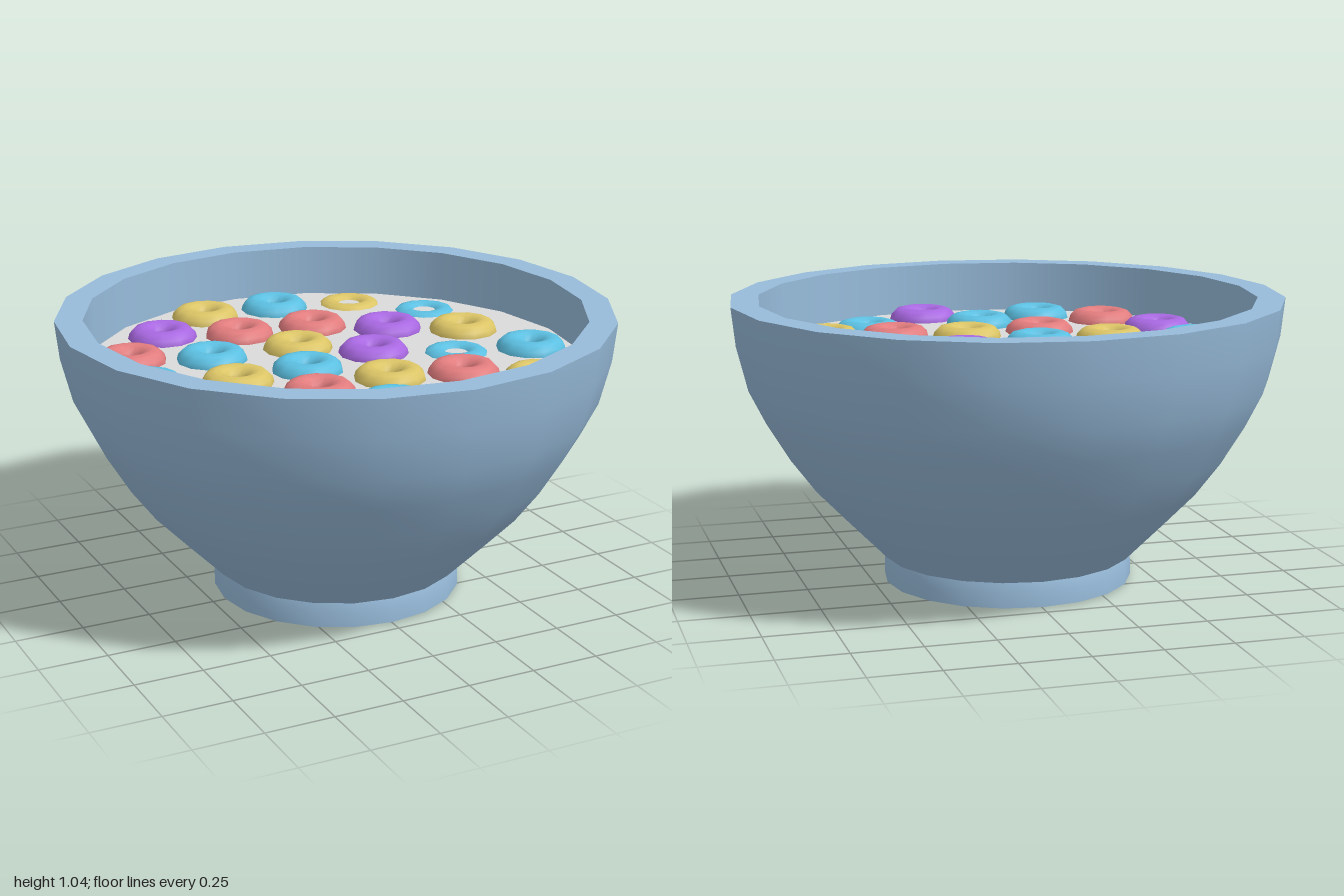
import * as THREE from 'three';

const mat = (name, color) => {
  const m = new THREE.MeshStandardMaterial({ color });
  m.name = name;
  return m;
};

export function createModel() {
  const model = new THREE.Group();
  model.name = 'cerealBowl';
  const SIDES = 20;
  const MILK_Y = 0.85;

  const ceramic = mat('blue ceramic', 0x97bbda);
  const milkWhite = mat('milk white', 0xdadada);
  const hoopColors = {
    c: mat('cyan hoop', 0x5cc0e2),
    r: mat('red hoop', 0xe27c7e),
    y: mat('yellow hoop', 0xdcc566),
    p: mat('purple hoop', 0xa968e2),
  };

  // Each profile is one smooth strip, so edges between strips stay sharp
  const strip = (name, profile, material, parent) => {
    const pts = profile.map(([r, y]) => new THREE.Vector2(r, y));
    const mesh = new THREE.Mesh(new THREE.LatheGeometry(pts, SIDES), material);
    mesh.name = name;
    parent.add(mesh);
  };

  const bowl = new THREE.Group();
  bowl.name = 'bowl';
  model.add(bowl);

  // Foot ring with a recessed base
  strip('footRecess', [[0, 0.06], [0.315, 0.06]], ceramic, bowl);
  strip('footInnerWall', [[0.315, 0.06], [0.315, 0]], ceramic, bowl);
  strip('footBase', [[0.315, 0], [0.455, 0.005]], ceramic, bowl);
  strip('footOuterWall', [[0.455, 0.005], [0.455, 0.06], [0.445, 0.1]], ceramic, bowl);

  // Body, flat rim and inner wall
  strip('bowlBody', [
    [0.44, 0.095], [0.455, 0.097], [0.595, 0.24], [0.71, 0.36], [0.8, 0.48],
    [0.885, 0.62], [0.945, 0.74], [0.985, 0.9], [1, 1.04],
  ], ceramic, bowl);
  strip('rim', [[1, 1.04], [0.9, 1.04]], ceramic, bowl);
  strip('innerWall', [[0.9, 1.04], [0.9, MILK_Y - 0.02]], ceramic, bowl);

  // Milk surface
  strip('milk', [[0.9, MILK_Y], [0, MILK_Y]], milkWhite, model);

  // Floating hoops: [x, z, colour, height above milk]
  const hoops = [
    [-0.21, -0.71, 'y'], [0.08, -0.705, 'c'], [0.38, -0.65, 'y', -0.033], [0.6, -0.435, 'c', -0.035],
    [-0.455, -0.54, 'p'], [-0.185, -0.44, 'r'], [0.105, -0.415, 'r'], [0.35, -0.27, 'p'],
    [-0.665, -0.32, 'r'], [-0.395, -0.21, 'c'], [-0.06, -0.195, 'y'], [0.6, -0.13, 'y'],
    [-0.715, -0.03, 'c'], [-0.42, 0.075, 'y'], [-0.14, 0.055, 'c'], [0.165, -0.025, 'p'],
    [0.44, 0.1, 'c', -0.033], [0.71, 0.18, 'c'], [-0.67, 0.25, 'p'], [-0.215, 0.305, 'r'],
    [0.08, 0.265, 'y'], [0.34, 0.33, 'r'], [0.575, 0.46, 'y', -0.02], [-0.525, 0.495, 'r'],
    [-0.305, 0.65, 'c'], [-0.04, 0.525, 'c'], [0.135, 0.735, 'p'], [0.38, 0.625, 'c', -0.028],
  ];
  const hoopGeo = new THREE.TorusGeometry(0.079, 0.051, 12, 12);
  hoopGeo.rotateX(-Math.PI / 2);
  const cereal = new THREE.Group();
  cereal.name = 'cereal';
  hoops.forEach(([x, z, color, lift = -0.005], i) => {
    const hoop = new THREE.Mesh(hoopGeo, hoopColors[color]);
    hoop.name = `cerealHoop${i + 1}`;
    hoop.position.set(x, MILK_Y + lift, z);
    hoop.rotation.y = i * 0.7;
    cereal.add(hoop);
  });
  model.add(cereal);

  return model;
}
